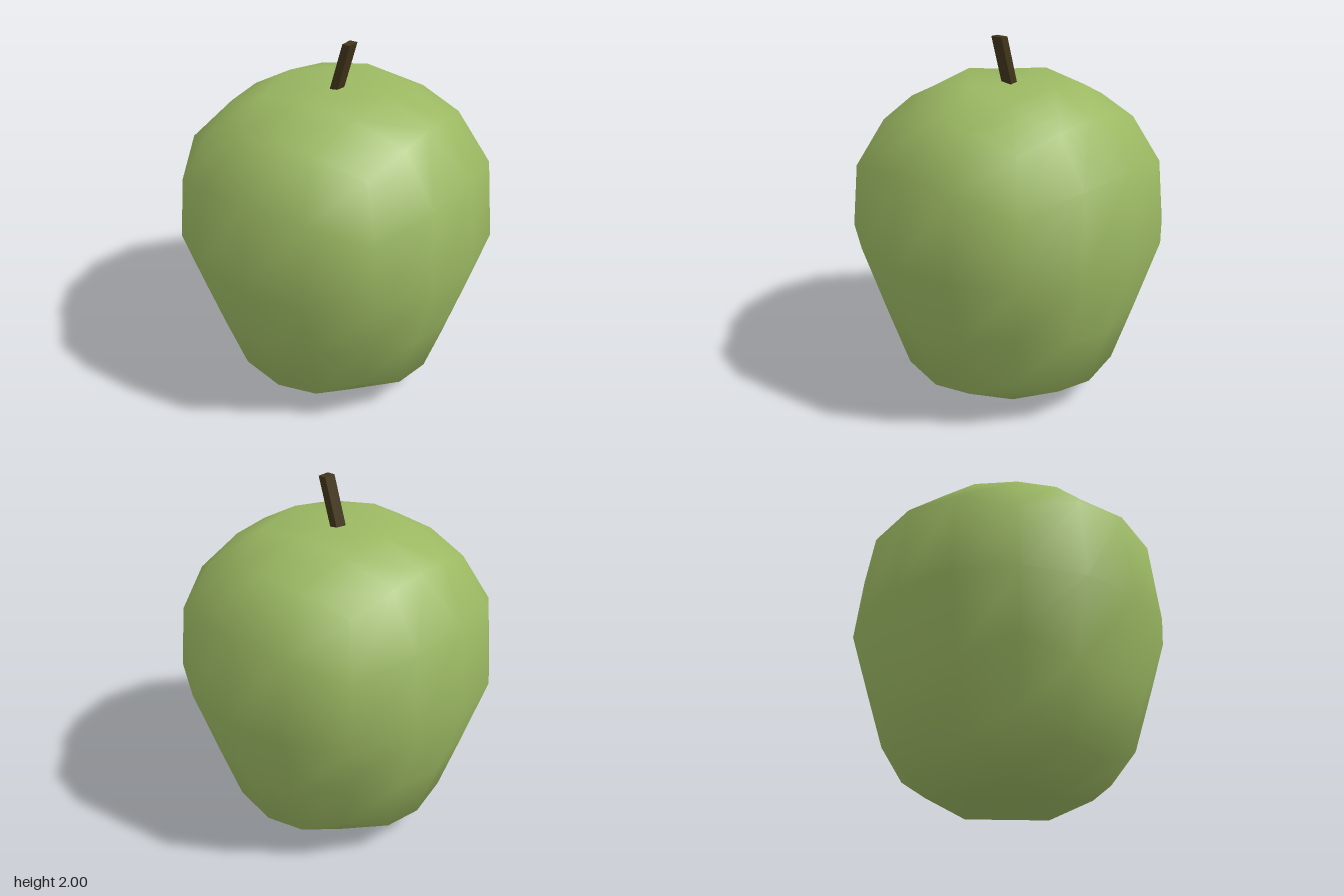
import * as THREE from 'three';
import { mergeVertices } from 'three/addons/utils/BufferGeometryUtils.js';

// Half profile [radius, height], one point per 22.5 degrees from bottom pole to top pole
const PROFILE = [
  [0, 0.04], [0.32, 0.0], [0.6, 0.16], [0.715, 0.53], [0.84, 0.95],
  [0.79, 1.43], [0.54, 1.65], [0.3, 1.78], [0, 1.745],
];

function profileAt(latitude) {
  const t = (latitude / Math.PI + 0.5) * 8;
  const i = Math.min(7, Math.max(0, Math.floor(t)));
  const [r0, y0] = PROFILE[i], [r1, y1] = PROFILE[i + 1];
  return [r0 + (r1 - r0) * (t - i), y0 + (y1 - y0) * (t - i)];
}

// Subdivided cube rounded into the fruit profile, with smooth shared normals
function fruitGeometry() {
  let geo = new THREE.BoxGeometry(2, 2, 2, 4, 4, 4);
  geo.deleteAttribute('normal');
  geo.deleteAttribute('uv');
  geo = mergeVertices(geo);
  const pos = geo.attributes.position;
  const spread = (v) => Math.tan(v * Math.PI / 4);
  for (let i = 0; i < pos.count; i++) {
    const x = spread(pos.getX(i)), y = spread(pos.getY(i)), z = spread(pos.getZ(i));
    const angle = Math.atan2(z, x);
    const [r, h] = profileAt(Math.atan2(y, Math.hypot(x, z)));
    const radius = r * (1 + 0.035 * Math.sin(2 * angle) ** 2); // slightly squarish plan
    pos.setXYZ(i, radius * Math.cos(angle), h, radius * Math.sin(angle));
  }
  geo.computeVertexNormals();
  return geo;
}

// Square stalk sheared towards +x
function stemGeometry() {
  const bottom = 1.7, top = 2;
  const geo = new THREE.BoxGeometry(0.045, top - bottom, 0.07);
  geo.translate(0, (top + bottom) / 2, 0);
  const pos = geo.attributes.position;
  for (let i = 0; i < pos.count; i++) {
    pos.setX(i, pos.getX(i) + 0.075 - (top - pos.getY(i)) * 0.3);
  }
  geo.computeVertexNormals();
  return geo;
}

export function createModel() {
  const group = new THREE.Group();
  group.name = 'apple';

  const fruit = new THREE.Mesh(fruitGeometry(), new THREE.MeshStandardMaterial({ color: 0x9bb862 }));
  fruit.name = 'fruit';

  const stem = new THREE.Mesh(stemGeometry(), new THREE.MeshStandardMaterial({ color: 0x42351a }));
  stem.name = 'stem';

  group.add(fruit, stem);
  return group;
}
